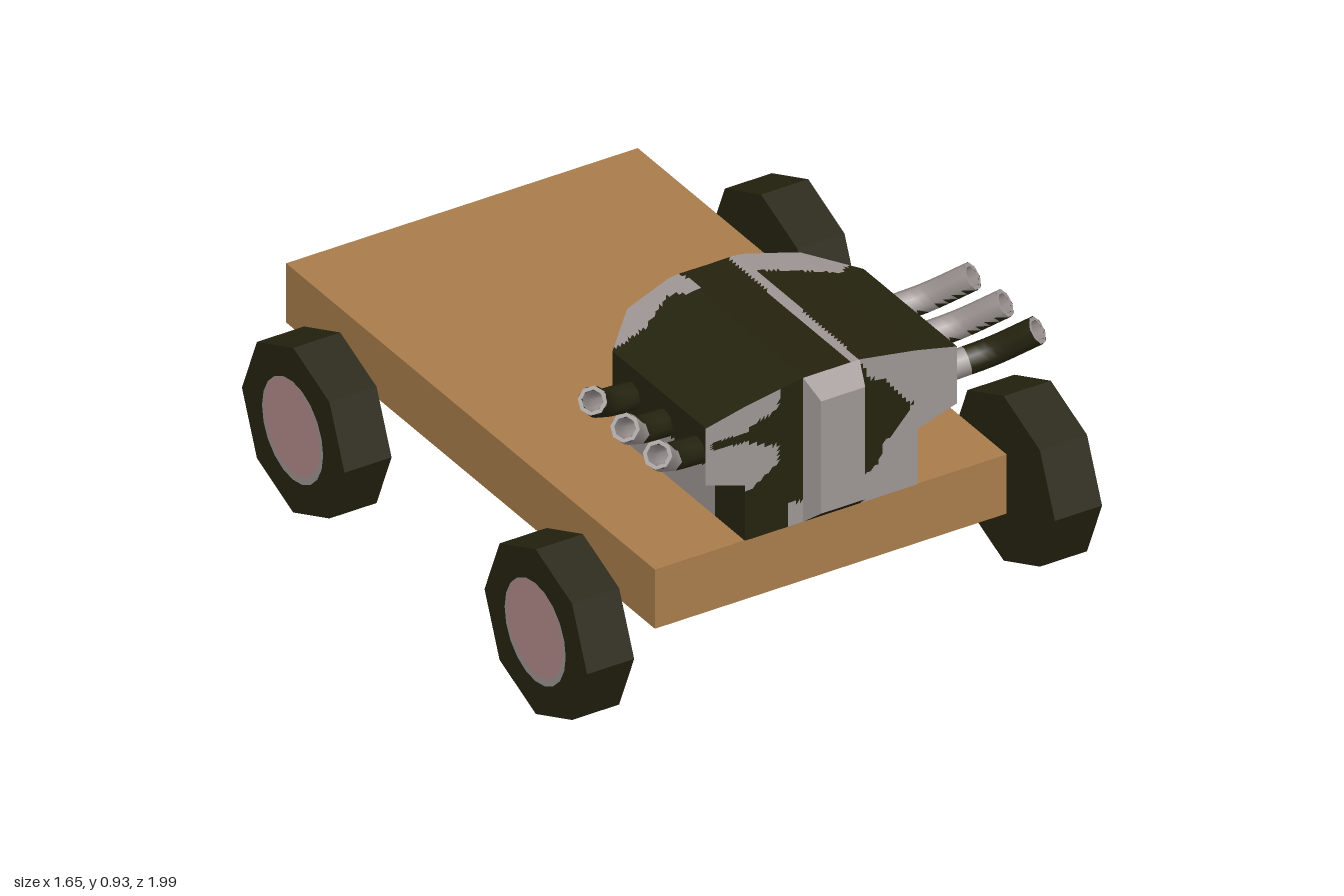
import * as THREE from 'three';

const mat = (name, color, side = THREE.FrontSide) => {
  const m = new THREE.MeshStandardMaterial({ color, side });
  m.name = name;
  return m;
};
const wood = mat('wood', 0xa87c4b);
const dark = mat('dark paint', 0x25230f, THREE.DoubleSide);
const metal = mat('grey metal', 0x9d9593, THREE.DoubleSide);
const pink = mat('hub pink', 0xb28a89);

function add(parent, name, geo, material, x = 0, y = 0, z = 0) {
  const m = new THREE.Mesh(geo, material);
  m.name = name;
  m.position.set(x, y, z);
  parent.add(m);
  return m;
}

// linear interpolation through [key, value] pairs
function interp(pts, k) {
  for (let i = 1; i < pts.length; i++) {
    const [a, va] = pts[i - 1], [b, vb] = pts[i];
    if (k <= b) return va + (vb - va) * Math.max(0, (k - a) / (b - a));
  }
  return pts[pts.length - 1][1];
}

// even-odd point in polygon test
function inside(poly, x, y) {
  let hit = false;
  poly.forEach(([ax, ay], i) => {
    const [bx, by] = poly[(i + 1) % poly.length];
    if ((ay > y) !== (by > y) && x < ax + (bx - ax) * (y - ay) / (by - ay)) hit = !hit;
  });
  return hit;
}

// sort the triangles into metal (0) and dark (1) groups by their centres
function paint(geo, isDark) {
  const p = geo.attributes.position, src = geo.index.array, sets = [[], []];
  for (let i = 0; i < src.length; i += 3) {
    const t = [src[i], src[i + 1], src[i + 2]];
    const mid = f => t.reduce((s, k) => s + p[f](k), 0) / 3;
    sets[isDark(mid('getX'), mid('getY'), mid('getZ')) ? 1 : 0].push(...t);
  }
  geo.setIndex([...sets[0], ...sets[1]]);
  geo.clearGroups();
  geo.addGroup(0, sets[0].length, 0);
  geo.addGroup(sets[0].length, sets[1].length, 1);
  return geo;
}

// grid surface from a rule giving [x, y, z] for s, t in 0..1
function patch(fn, ns, nt, isDark, smooth = false) {
  const pos = [], idx = [], w = nt + 1;
  for (let i = 0; i <= ns; i++) for (let j = 0; j <= nt; j++) pos.push(...fn(i / ns, j / nt));
  for (let i = 0; i < ns; i++) for (let j = 0; j < nt; j++) {
    const a = i * w + j, b = a + w;
    idx.push(a, b, b + 1, a, b + 1, a + 1);
  }
  let g = new THREE.BufferGeometry();
  g.setAttribute('position', new THREE.Float32BufferAttribute(pos, 3));
  g.setIndex(idx);
  paint(g, isDark);
  if (!smooth) g = g.toNonIndexed();
  g.computeVertexNormals();
  return g;
}

// engine block section and its bulging back
const FRONT = 0.873;
const yTop = x => interp([[0, 0.925], [0.09, 0.925], [0.27, 0.895], [0.4, 0.865]], Math.abs(x));
const yWing = x => interp([[0.275, 0.645], [0.4, 0.685]], Math.abs(x));
const zBack = (x, y) => interp([[0, 0.185], [0.12, 0.2], [0.275, 0.26], [0.4, 0.4]], Math.abs(x))
  + (1 - Math.abs(x) / 0.4) * interp([[0.47, 0], [0.58, 0.02], [0.7, 0.005], [0.82, 0.04], [0.925, 0.055]], y);

// painted areas
const frontLeftPaint = [[-0.09, 0.93], [-0.16, 0.93], [-0.17, 0.85], [-0.25, 0.83], [-0.27, 0.812], [-0.38, 0.812],
  [-0.38, 0.79], [-0.27, 0.78], [-0.17, 0.735], [-0.17, 0.68], [-0.25, 0.63], [-0.28, 0.62], [-0.28, 0.46],
  [-0.14, 0.46], [-0.14, 0.54], [-0.09, 0.54]];
const frontRightPaint = [[0.09, 0.91], [0.13, 0.85], [0.18, 0.83], [0.2, 0.79], [0.26, 0.73], [0.2, 0.66],
  [0.17, 0.64], [0.15, 0.58], [0.09, 0.54]];
const topPaint = [[-0.41, 0.9], [-0.41, 0.4], [-0.28, 0.38], [-0.16, 0.3], [-0.1, 0.34], [-0.07, 0.33], [-0.09, 0.22],
  [0.07, 0.22], [0.06, 0.9], [0.09, 0.9], [0.1, 0.33], [0.32, 0.41], [0.41, 0.34], [0.41, 0.9]];
const sidePaint = [[0.39, 0.76], [0.44, 0.75], [0.44, 0.7], [0.5, 0.68], [0.39, 0.68]];
const frontDark = (x, y) => inside(frontLeftPaint, x, y) || inside(frontRightPaint, x, y);
const topDark = (x, y, z) => inside(topPaint, x, z);
const backDark = (x, y) => x < -0.22 && y > 0.7 + 0.1 * (x + 0.4);
const never = () => false;

function engine() {
  const g = new THREE.Group();
  g.name = 'engine';
  const mats = [metal, dark];
  const put = (name, geo) => add(g, name, geo, mats);

  for (const [x0, x1] of [[-0.4, -0.275], [-0.275, 0.275], [0.275, 0.4]]) {
    const wing = x1 - x0 < 0.2, n = wing ? 10 : 44;
    const yBot = x => wing ? yWing(x) : 0.47;
    const X = s => x0 + (x1 - x0) * s;
    const Y = (x, t) => yBot(x) + (yTop(x) - yBot(x)) * t;
    put('engineFront', patch((s, t) => [X(s), Y(X(s), t), FRONT], n, 30, frontDark));
    put('engineBack', patch((s, t) => {
      const x = X(1 - s), y = Y(x, t);
      return [x, y, zBack(x, y)];
    }, n, 20, backDark, true));
    put('engineTop', patch((s, t) => {
      const x = X(s), y = yTop(x);
      return [x, y, FRONT + (zBack(x, y) - FRONT) * t];
    }, n, 40, topDark));
    put('engineUnderside', patch((s, t) => {
      const x = X(s), y = yBot(x), z = zBack(x, y);
      return [x, y, z + (FRONT - z) * t];
    }, 4, 6, never));
  }

  // lower and upper side walls
  const wall = (x, y0, y1, isDark) => patch((s, t) => {
    const y = y0 + (y1 - y0) * t, z = zBack(x, y);
    return [x, y, z + (FRONT - z) * (x > 0 ? 1 - s : s)];
  }, 24, 10, isDark);
  put('lowerSideLeft', wall(0.275, 0.47, 0.645, never));
  put('lowerSideRight', wall(-0.275, 0.47, 0.645, (x, y, z) => z > 0.72));
  put('upperSideLeft', wall(0.4, 0.685, 0.865, (x, y, z) => inside(sidePaint, z, y)));
  put('upperSideRight', wall(-0.4, 0.685, 0.865, (x, y, z) => z < 0.6 || y > 0.75));

  // bevelled front cover
  const cover = new THREE.BoxGeometry(0.18, 0.455, 0.06).toNonIndexed();
  new THREE.BoxGeometry(0.18, 0.455, 0.06).groups.forEach((q, i) => {
    if (!cover.groups[i]) cover.addGroup(q.start, q.count, q.materialIndex);
  });
  const p = cover.attributes.position;
  for (let i = 0; i < p.count; i++) if (p.getZ(i) > 0) p.setXY(i, p.getX(i) * 0.78, p.getY(i) * 0.78);
  cover.computeVertexNormals();
  add(g, 'frontCover', cover, [metal, metal, metal, dark, metal, metal], 0, 0.6975, FRONT + 0.03);
  return g;
}

// bent hollow exhaust pipe
function pipe(side, dz, isDark) {
  const g = new THREE.Group();
  g.name = 'exhaustPipe';
  const pts = [[0.36, 0.767, 0.488], [0.42, 0.782, 0.505], [0.515, 0.808, 0.535], [0.605, 0.892, 0.625]];
  const path = new THREE.CatmullRomCurve3(pts.map(([x, y, z]) => new THREE.Vector3(side * x, y, z + dz)));
  add(g, 'pipeWall', paint(new THREE.TubeGeometry(path, 10, 0.041, 8), isDark), [metal, dark]);
  add(g, 'pipeBore', new THREE.TubeGeometry(path, 6, 0.03, 8), metal);
  const end = path.getPoint(1);
  const rim = add(g, 'pipeRim', new THREE.RingGeometry(0.03, 0.041, 8), metal, end.x, end.y, end.z);
  rim.lookAt(end.clone().add(path.getTangent(1)));
  return g;
}

function wheel(side, z) {
  const g = new THREE.Group();
  g.name = 'wheel';
  const tyre = new THREE.CylinderGeometry(0.26, 0.26, 0.15, 8).rotateZ(Math.PI / 2).toNonIndexed();
  tyre.computeVertexNormals();
  add(g, 'tyre', tyre, dark);
  const disc = (name, r, m, off, y) =>
    add(g, name, new THREE.CircleGeometry(r, 20).rotateY(side * Math.PI / 2), m, side * (0.075 + off), y, 0);
  disc('hubRing', 0.155, metal, 0.002, 0);
  disc('hubCap', 0.143, pink, 0.004, 0.011);
  g.position.set(side * 0.745, 0.26, z);
  return g;
}

export function createModel() {
  const model = new THREE.Group();
  model.name = 'cart';
  add(model, 'deck', new THREE.BoxGeometry(1.12, 0.187, 1.87), wood, 0, 0.3765, -0.065);
  model.add(engine());

  for (const side of [1, -1]) {
    model.add(wheel(side, 0.68), wheel(side, -0.55));
    for (let i = 0; i < 3; i++) {
      const dz = i * 0.165;
      // paint covers the low outer half on the left, the inner stretch on the right
      const isDark = side > 0
        ? (x, y, z) => i === 2 ? x > 0.44 : y < 0.78 + 0.95 * Math.max(0, x - 0.5)
        : (x, y, z) => i === 0 ? x > -0.6 : x > -0.56 && z - dz < 0.57;
      model.add(pipe(side, dz, isDark));
    }
  }
  return model;
}
